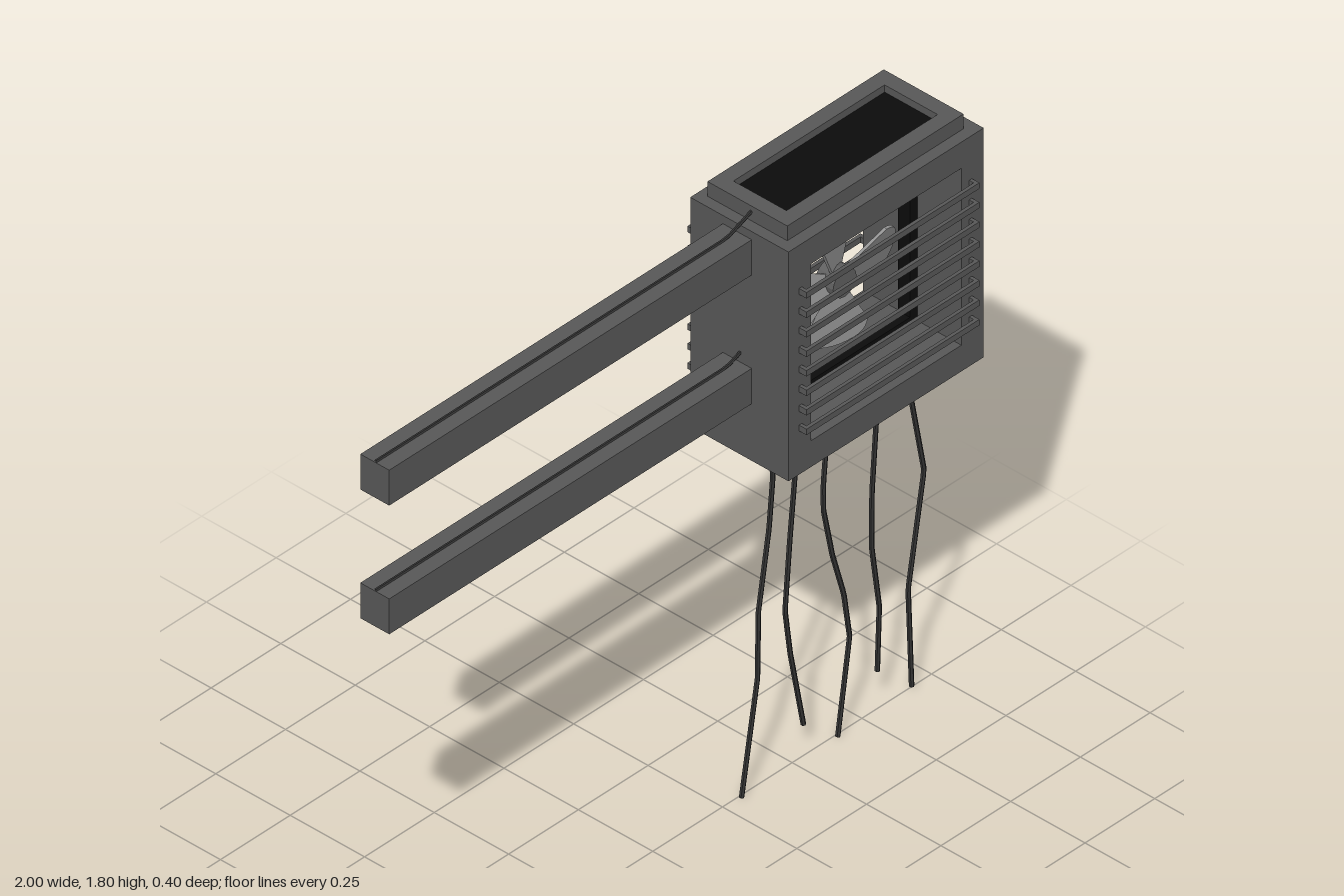
import * as THREE from 'three';

const mat = (color, side = THREE.FrontSide) =>
  new THREE.MeshStandardMaterial({ color, side, flatShading: true });

export function createModel() {
  const group = new THREE.Group();
  const shell = mat(0x585858), black = mat(0x0c0c0c), wire = mat(0x333333);
  const bladeMat = mat(0x929292, THREE.DoubleSide), hubMat = mat(0x606060);
  const CX = 0.648, CY = 1.405, CZ = 0.01;

  const add = (name, geometry, material, x = 0, y = 0, z = 0, parent = group) => {
    const mesh = new THREE.Mesh(geometry, material);
    mesh.name = name;
    mesh.position.set(x, y, z);
    parent.add(mesh);
    return mesh;
  };
  const box = (name, w, h, d, material, x, y, z, parent) =>
    add(name, new THREE.BoxGeometry(w, h, d), material, x, y, z, parent);

  // Rectangular ring, extruded and centred on its depth
  const frame = (w, h, iw, ih, depth) => {
    const rect = (P, a, b) => {
      const p = new P();
      p.moveTo(-a / 2, -b / 2);
      p.lineTo(a / 2, -b / 2);
      p.lineTo(a / 2, b / 2);
      p.lineTo(-a / 2, b / 2);
      p.closePath();
      return p;
    };
    const shape = rect(THREE.Shape, w, h);
    shape.holes.push(rect(THREE.Path, iw, ih));
    return new THREE.ExtrudeGeometry(shape, { depth, bevelEnabled: false }).translate(0, 0, -depth / 2);
  };

  // Thin cable with straight runs between its points
  const cable = (name, points, radius) => {
    const curve = new THREE.CatmullRomCurve3(points.map(p => new THREE.Vector3(...p)), false, 'catmullrom', 0);
    add(name, new THREE.TubeGeometry(curve, 48, radius, 6), wire);
  };

  // Housing, open from front to back, with a dark frame set inside
  add('housing', frame(0.7, 0.7, 0.54, 0.54, 0.33), shell, CX + 0.002, CY, CZ);
  add('innerFrame', frame(0.54, 0.54, 0.486, 0.486, 0.04), black, CX, CY, CZ);

  // Raised collar with a dark vent on top
  const collar = add('topCollar', frame(0.632, 0.268, 0.542, 0.178, 0.047), shell, CX, 1.7765, CZ - 0.003);
  collar.rotation.x = -Math.PI / 2;
  box('topVent', 0.545, 0.02, 0.18, black, CX, 1.768, CZ - 0.003);

  // Fan with four blades
  const fan = new THREE.Group();
  fan.name = 'fan';
  fan.position.set(CX - 0.002, CY, CZ);
  group.add(fan);
  const outline = new THREE.Shape();
  outline.moveTo(-0.026, 0.03);
  outline.lineTo(0.026, 0.03);
  outline.lineTo(0.088, 0.15);
  outline.quadraticCurveTo(0.085, 0.185, 0.05, 0.195);
  outline.quadraticCurveTo(0, 0.21, -0.05, 0.195);
  outline.quadraticCurveTo(-0.085, 0.185, -0.088, 0.15);
  outline.closePath();
  const bladeGeo = new THREE.ExtrudeGeometry(outline, { depth: 0.008, bevelEnabled: false, curveSegments: 5 });
  bladeGeo.translate(0, 0, -0.004).rotateY(0.3);
  for (let i = 0; i < 4; i++) add('fanBlade', bladeGeo, bladeMat, 0, 0, 0, fan).rotation.z = i * Math.PI / 2;
  add('fanHub', new THREE.CylinderGeometry(0.042, 0.042, 0.06, 16).rotateX(Math.PI / 2), hubMat, 0, 0, 0, fan);

  // Guard bars on both faces, each held by two short legs
  for (const [side, face] of [[1, 0.175], [-1, -0.155]]) {
    const guard = new THREE.Group();
    guard.name = side > 0 ? 'frontGuard' : 'backGuard';
    group.add(guard);
    const length = Math.abs(0.2 * side - face) + 0.01;
    for (let i = 0; i < 8; i++) {
      const y = 1.197 + i * 0.0596;
      box('guardBar', 0.62, 0.018, 0.01, shell, CX, y, side * 0.195, guard);
      for (const e of [-1, 1])
        box('guardLeg', 0.01, 0.018, length, shell, CX + e * 0.305, y, side * (0.2 - length / 2), guard);
    }
  }

  // Two side arms, each carrying a thin cable along its top
  for (const y of [1.73, 1.337]) {
    box('sideArm', 1.31, 0.108, 0.097, shell, -0.345, y - 0.054, 0.003);
    cable('armCable', [[-1, y, 0.003], [0.262, y, 0.003], [0.338, y + 0.055, 0.02]], 0.005);
  }

  // Loose cables hanging from the underside
  const hanging = [
    [[0.42, 1.06], [0.43, 0.91], [0.415, 0.76], [0.375, 0.53], [0.37, 0.33], [0.31, 0]],
    [[0.52, 1.06], [0.515, 0.91], [0.495, 0.68], [0.48, 0.47], [0.5, 0.33], [0.55, 0.085]],
    [[0.635, 1.04], [0.61, 0.79], [0.61, 0.71], [0.64, 0.56], [0.68, 0.42], [0.7, 0.28], [0.655, 0]],
    [[0.8, 1.06], [0.805, 0.91], [0.79, 0.67], [0.79, 0.5], [0.82, 0.3], [0.815, 0.105]],
    [[0.915, 1.06], [0.92, 0.91], [0.97, 0.64], [0.91, 0.31], [0.92, 0.01]],
  ];
  hanging.forEach((points, i) =>
    cable('hangingCable', points.map(([x, y]) => [x, y, (i % 2 ? -0.01 : 0.008) * (1 - y)]), 0.007));

  return group;
}
